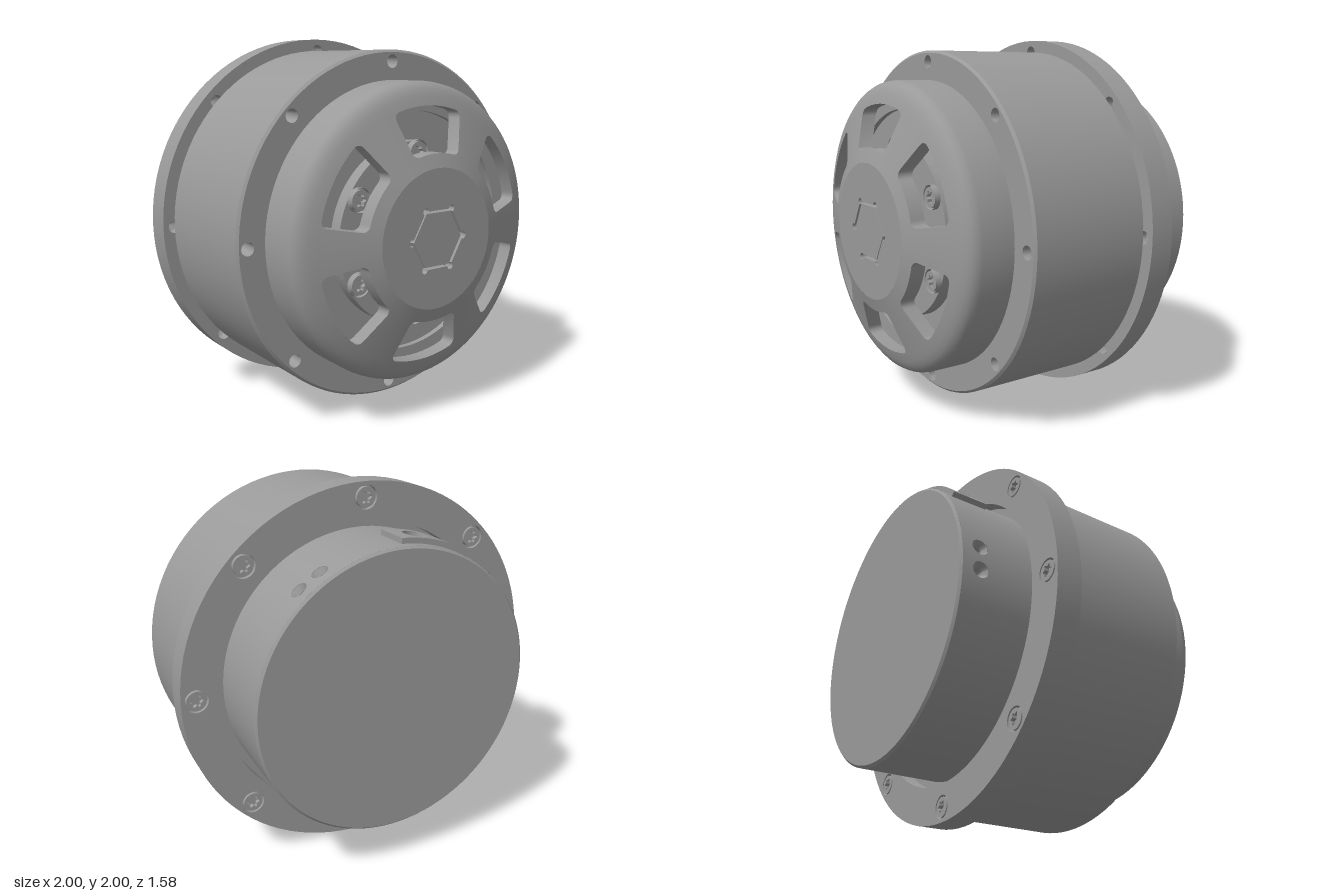
import * as THREE from 'three';
import { toCreasedNormals } from 'three/addons/utils/BufferGeometryUtils.js';

const TAU = Math.PI * 2, DEG = Math.PI / 180;
const metal = new THREE.MeshStandardMaterial({ color: 0x9a9a9a, side: THREE.DoubleSide });
metal.name = 'grey metal';

const polar = (r, a, z) => new THREE.Vector3(r * Math.cos(a), r * Math.sin(a), z);
const around = (n, fn, start = 0) => { for (let i = 0; i < n; i++) fn(start + i * TAU / n); };

// Turned part about z, from [radius, z] pairs
function turned(points, segments = 96) {
  const g = new THREE.LatheGeometry(points.map(p => new THREE.Vector2(p[0], p[1])), segments);
  return toCreasedNormals(g.rotateX(Math.PI / 2), 0.4);
}

// Flat ring at height z with round holes on a pitch circle
function drilledRing(inner, outer, z, count, pitch, holeR) {
  const s = new THREE.Shape().absarc(0, 0, outer, 0, TAU);
  s.holes.push(new THREE.Path().absarc(0, 0, inner, 0, TAU, true));
  around(count, a => s.holes.push(
    new THREE.Path().absarc(pitch * Math.cos(a), pitch * Math.sin(a), holeR, 0, TAU, true)));
  return new THREE.ShapeGeometry(s, 48).translate(0, 0, z);
}

// Band of revolution with cut-outs: rz(v) gives [radius, z], n = [radial, axial] normal
function holedBand(u0, u1, v0, v1, holes, rz, n) {
  const pos = [], nor = [], idx = [];
  const strip = (us, lo, hi) => us.forEach((u, i) => {
    for (const v of [lo(u), hi(u)]) {
      const [r, z] = rz(v);
      pos.push(...polar(r, u, z).toArray());
      nor.push(n[0] * Math.cos(u), n[0] * Math.sin(u), n[1]);
    }
    if (i) { const k = pos.length / 3 - 4; idx.push(k, k + 1, k + 3, k, k + 3, k + 2); }
  });
  const solid = (a, b) => {
    const steps = Math.ceil((b - a) / (3 * DEG));
    strip(Array.from({ length: steps + 1 }, (_, i) => a + (b - a) * i / steps), () => v0, () => v1);
  };
  let u = u0;
  for (const h of [...holes].sort((a, b) => a.u - b.u)) {
    solid(u, h.u - h.w);
    const us = spread(h);
    strip(us, () => v0, x => h.lo(x - h.u));
    strip(us, x => h.hi(x - h.u), () => v1);
    u = h.u + h.w;
  }
  solid(u, u1);
  const g = new THREE.BufferGeometry();
  g.setAttribute('position', new THREE.Float32BufferAttribute(pos, 3));
  g.setAttribute('normal', new THREE.Float32BufferAttribute(nor, 3));
  g.setIndex(idx);
  return g;
}
const spread = h => Array.from({ length: 25 }, (_, i) => h.u - h.w * Math.cos(Math.PI * i / 24));

// Wall joining two matching closed loops of points
function loopWall(top, bottom) {
  const n = top.length, pos = [...top, ...bottom].flatMap(p => p.toArray()), idx = [];
  for (let i = 0; i < n; i++) {
    const j = (i + 1) % n;
    idx.push(i, j, n + j, i, n + j, n + i);
  }
  const g = new THREE.BufferGeometry();
  g.setAttribute('position', new THREE.Float32BufferAttribute(pos, 3));
  g.setIndex(idx);
  return toCreasedNormals(g, 0.6);
}

// Round hole in a cylinder of radius R at angle u and v = -z
const roundHole = (u, v, r, R) => {
  const half = t => Math.sqrt(Math.max(0, r * r - t * t * R * R));
  return { u, v, w: r / R, lo: t => v - half(t), hi: t => v + half(t) };
};

export function createModel() {
  const model = new THREE.Group();
  const drive = new THREE.Group();
  drive.name = 'drive';
  drive.position.y = 1;
  model.add(drive);
  const add = (name, geometry, parent = drive) => {
    const m = new THREE.Mesh(geometry, metal);
    m.name = name;
    parent.add(m);
    return m;
  };

  // Main housing with eight bolt holes in its front face
  add('housing', turned([[0.935, -0.28], [0.935, 0.397], [0.922, 0.41]]));
  add('housingFace', drilledRing(0.77, 0.922, 0.41, 8, 0.875, 0.035));
  const boltBore = turned([[0, 0.27], [0.035, 0.29], [0.035, 0.41]], 20);
  around(8, a => add('boltHole', boltBore).position.copy(polar(0.875, a, 0)));

  // Mounting flange with a groove around the rear cover
  add('flangeRim', turned([[1, -0.42], [1, -0.28]]));
  add('flangeFront', drilledRing(0.88, 1, -0.28, 8, 0.935, 0.035));
  add('flangeBack', drilledRing(0.8, 1, -0.42, 8, 0.92, 0.062).scale(1, 1, -1).translate(0, 0, -0.84)
    .rotateY(Math.PI).translate(0, 0, -0.84));
  add('flangeGroove', turned([[0.75, -0.34], [0.8, -0.34], [0.8, -0.42]]));
  const flangeBore = turned([[0, -0.36], [0.035, -0.34], [0.035, -0.28]], 20);
  around(8, a => add('flangeHole', flangeBore).position.copy(polar(0.935, a, 0)));

  // Screws with a six-lobed socket; the head faces +z
  const star = new THREE.Path(Array.from({ length: 36 }, (_, i) => {
    const a = -i * TAU / 36, r = 0.029 + 0.006 * Math.cos(6 * a);
    return new THREE.Vector2(r * Math.cos(a), r * Math.sin(a));
  }));
  const headShape = new THREE.Shape().absarc(0, 0, 0.052, 0, TAU);
  headShape.holes.push(star);
  const headGeo = new THREE.ExtrudeGeometry(headShape, { depth: 0.025, bevelEnabled: false, curveSegments: 14 });
  const seatGeo = turned([[0, 0], [0.062, 0], [0.062, 0.025]], 28);
  function screw(x, y, z, rearward) {
    const g = new THREE.Group();
    g.name = 'screw';
    add('screwHead', headGeo, g);
    add('screwSeat', seatGeo, g);
    g.position.set(x, y, z);
    if (rearward) g.rotation.y = Math.PI;
    drive.add(g);
  }
  around(8, a => screw(0.92 * Math.cos(a), 0.92 * Math.sin(a), -0.395, true));

  // Front cap: shoulder, windowed cone, flat nose
  const r0 = 0.36, r1 = 0.67, zNose = 0.785, slope = 0.1 / 0.31;
  const coneZ = r => zNose - (r - r0) * slope;
  add('capShoulder', turned([[0.78, 0.4], [0.78, 0.59], [0.776, 0.615], [0.763, 0.638], [0.74, 0.657],
    [0.71, 0.672], [r1, coneZ(r1)]]));
  const halfWidth = 19.5 * DEG, corner = 0.035;
  const inset = (t, r) => {
    const d = Math.min(corner, Math.max(0, (halfWidth - Math.abs(t)) * r));
    return corner - Math.sqrt(corner * corner - (corner - d) ** 2);
  };
  const windows = [];
  around(6, u => windows.push({
    u, w: halfWidth, lo: t => 0.43 + inset(t, 0.43), hi: t => 0.66 - inset(t, 0.66),
  }), 30 * DEG);
  const tilt = Math.hypot(1, slope);
  add('capCone', holedBand(0, TAU, r0, r1, windows, r => [r, coneZ(r)], [slope / tilt, 1 / tilt]));
  for (const h of windows) {
    const us = spread(h);
    const outline = [...us.map(u => [h.lo(u - h.u), u]), ...us.reverse().map(u => [h.hi(u - h.u), u])];
    add('windowWall', loopWall(outline.map(([r, u]) => polar(r, u, coneZ(r))),
      outline.map(([r, u]) => polar(r, u, coneZ(r) - 0.08))));
  }

  // Nose disc with a hexagonal opening that has relieved corners
  const nose = new THREE.Shape().absarc(0, 0, r0, 0, TAU);
  const hexPath = new THREE.Path();
  around(6, a => hexPath.absarc(0.172 * Math.cos(a), 0.172 * Math.sin(a), 0.018,
    a - 120 * DEG, a + 120 * DEG));
  hexPath.closePath();
  nose.holes.push(hexPath);
  add('nose', new THREE.ExtrudeGeometry(nose, { depth: 0.05, bevelEnabled: false, curveSegments: 48 })
    .translate(0, 0, zNose - 0.05));
  const plug = new THREE.CylinderGeometry(0.158, 0.166, 0.05, 6).rotateX(Math.PI / 2).rotateZ(30 * DEG);
  add('hexPlug', toCreasedNormals(plug, 0.3)).position.z = zNose - 0.029;

  // Inner carrier seen through the windows
  add('carrier', turned([[0.77, 0.56], [0.63, 0.56], [0.63, 0.53], [0.48, 0.53], [0.48, 0.6], [0, 0.6]].reverse()));
  around(6, a => screw(0.425 * Math.cos(a), 0.425 * Math.sin(a), 0.601), 30 * DEG);

  // Rear cover with radial holes through its side
  const R = 0.757, side = v => [R, -v];
  const vents = [50.5, 60.2, 170.4, 180.2, 290.4, 300.2].map(a => roundHole(a * DEG, 0.68, 0.043, R));
  const ports = rad => [101.2, 128.4].map(a => roundHole(a * DEG, 0.65, 0.07, rad));
  add('rearCoverSide', holedBand(0, TAU, 0.34, 0.778, [...vents, ...ports(R)], side, [1, 0]));
  add('rearCoverBack', turned([[0, -0.79], [0.745, -0.79], [R, -0.778]]));
  const radial = (name, points, h) => {
    const g = turned(points, 28).rotateX(-Math.PI / 2).rotateZ(h.u - Math.PI / 2);
    add(name, g).position.z = -h.v;
  };
  for (const h of vents)
    radial('ventHole', [[0, 0.62], [0.024, 0.62], [0.024, 0.725], [0.043, 0.755]], h);

  // Raised curved port plate on the rear cover
  const P = 0.785, a0 = 91.5 * DEG, a1 = 137.8 * DEG, vA = 0.54, vB = 0.74;
  add('portPlate', holedBand(a0, a1, vA, vB, ports(P), v => [P, -v], [1, 0]));
  const arc = Array.from({ length: 21 }, (_, i) => a0 + (a1 - a0) * i / 20);
  const edge = [...arc.map(a => [a, vA]), ...[...arc].reverse().map(a => [a, vB])];
  add('portPlateEdge', loopWall(edge.map(([a, v]) => polar(P, a, -v)), edge.map(([a, v]) => polar(0.75, a, -v))));
  for (const h of ports(P))
    radial('portHole', [[0, 0.5], [0.07, 0.52], [0.07, 0.783]], h);

  return model;
}
